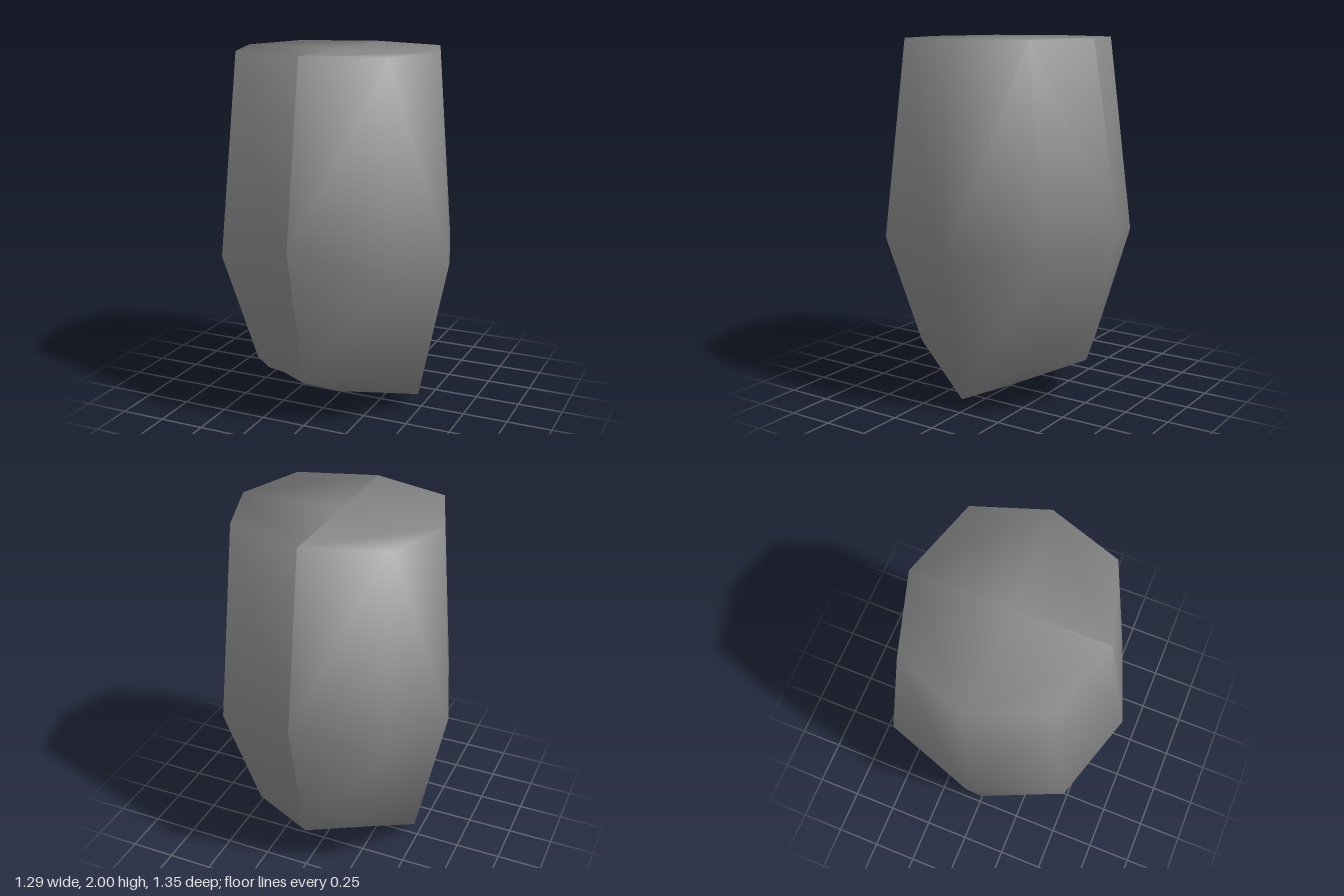
import * as THREE from 'three';

// Half a ring, x >= 0: front, corner, side, rear corner, rear
function halfRing({ front: [fz, fy], corner: [cx, cy, cz], side: [sx, sy] }) {
  return [[0, fy, fz], [cx, cy, cz], [sx, sy, 0], [cx, cy, -cz], [0, fy, -fz]];
}

// Smooth normals: each quad's normal weighted by its angle at the corner
function quadNormals(points, quads) {
  const v = points.map((p) => new THREE.Vector3(...p));
  const normals = v.map(() => new THREE.Vector3());
  for (const q of quads) {
    const [a, b, c, d] = q.map((k) => v[k]);
    const n = c.clone().sub(a).cross(d.clone().sub(b)).normalize();
    q.forEach((k, m) => {
      const next = v[q[(m + 1) % 4]].clone().sub(v[k]);
      const last = v[q[(m + 3) % 4]].clone().sub(v[k]);
      normals[k].addScaledVector(n, next.angleTo(last));
    });
  }
  return normals.flatMap((n) => n.normalize().toArray());
}

function halfGeometry() {
  const points = [
    ...halfRing({ front: [0.5, 0.25], corner: [0.34, 0.3, 0.38], side: [0.48, 0.07] }), // foot
    ...halfRing({ front: [0.675, 1.03], corner: [0.475, 0.91, 0.515], side: [0.645, 0.87] }), // waist
    ...halfRing({ front: [0.52, 2], corner: [0.43, 2, 0.39], side: [0.565, 2] }), // rim
    [0, 0, 0], // underside centre
    [0, 2, 0], // top centre
  ];
  const bottom = 15, top = 16;

  // Each quad is split from its first corner to its third
  const quads = [];
  for (const r of [0, 5]) {
    for (let i = 0; i < 4; i++) {
      const a = r + i, b = a + 1, c = a + 6, d = a + 5;
      quads.push(i % 2 === 0 ? [a, b, c, d] : [b, c, d, a]);
    }
  }
  // Saddle-shaped underside and flat top
  for (const i of [0, 2]) {
    quads.push([bottom, i + 2, i + 1, i], [10 + i, 11 + i, 12 + i, top]);
  }

  const geometry = new THREE.BufferGeometry();
  geometry.setAttribute('position', new THREE.Float32BufferAttribute(points.flat(), 3));
  geometry.setAttribute('normal', new THREE.Float32BufferAttribute(quadNormals(points, quads), 3));
  geometry.setIndex(quads.flatMap(([a, b, c, d]) => [a, b, c, a, c, d]));
  return geometry;
}

export function createModel() {
  const group = new THREE.Group();
  const geometry = halfGeometry();
  const material = new THREE.MeshStandardMaterial({ color: 0x838383 });

  // Two equal halves meet in a seam at x = 0
  for (const [name, turn] of [['leftHalf', 0], ['rightHalf', Math.PI]]) {
    const half = new THREE.Mesh(geometry, material);
    half.name = name;
    half.rotation.y = turn;
    group.add(half);
  }
  return group;
}
